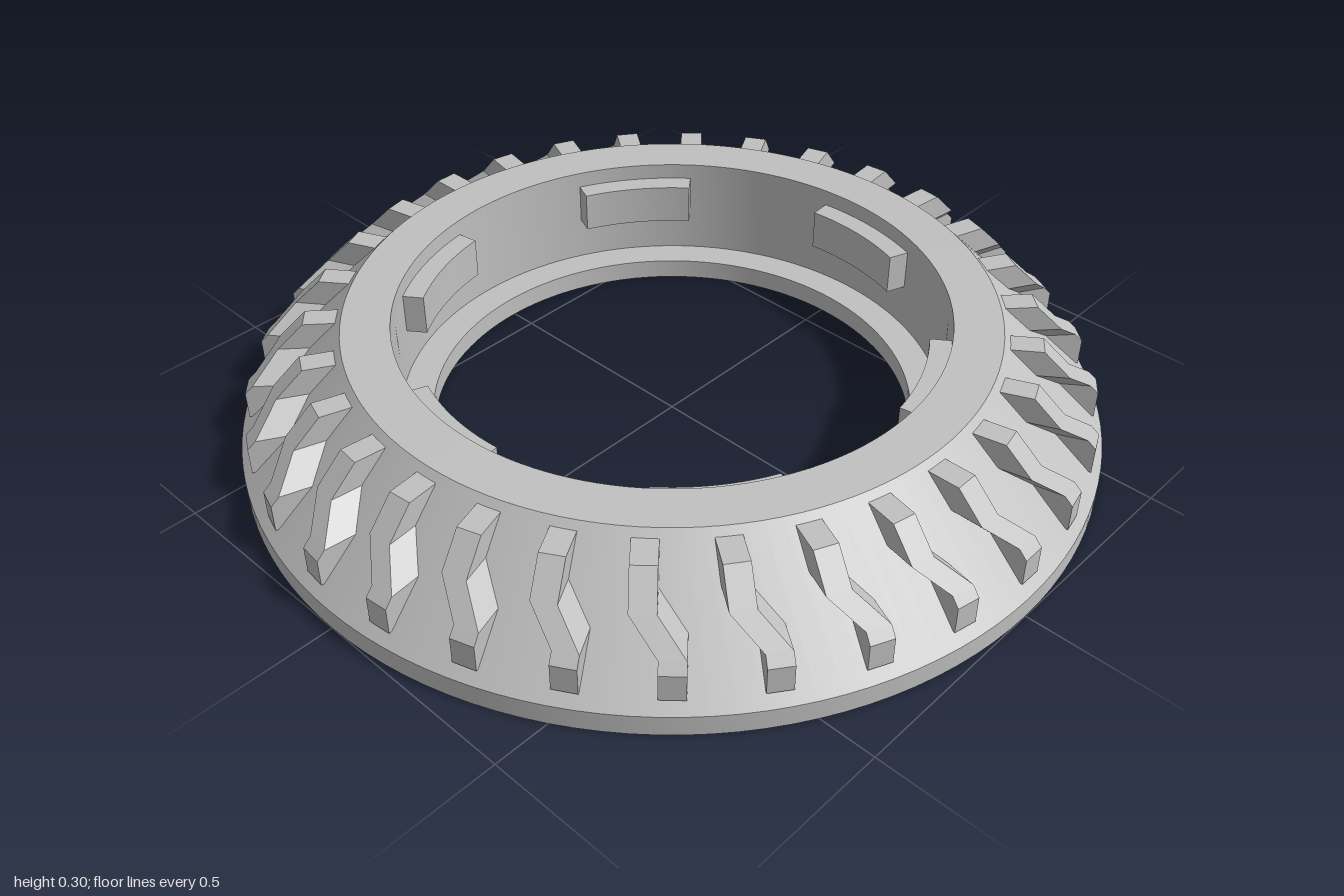
import * as THREE from 'three';
import { toCreasedNormals } from 'three/addons/utils/BufferGeometryUtils.js';

const RIBS = 30;
const TABS = 6;

// Sloped ring with a stepped bore
function ringGeometry() {
  const profile = [
    [0.563, 0], [1, 0], [1, 0.05], [0.75, 0.3],
    [0.638, 0.3], [0.638, 0.05], [0.563, 0.05], [0.563, 0],
  ].map(([r, y]) => new THREE.Vector2(r, y));
  return toCreasedNormals(new THREE.LatheGeometry(profile, 120), 0.4);
}

// Zigzag grip rib: a box whose rows are shifted sideways and laid on the slope
function ribGeometry() {
  const width = 0.055, shift = 0.029;
  const rows = [
    { y: 0.285, x: -shift, front: 0.838 },
    { y: 0.22, x: -shift, front: 0.902 },
    { y: 0.16, x: shift, front: 0.961 },
    { y: 0.14, x: shift, front: 0.98 },
    { y: 0.075, x: shift, front: 0.98 },
  ];
  const box = new THREE.BoxGeometry(width, 1, 1, 1, rows.length - 1, 1);
  const p = box.attributes.position;
  for (let i = 0; i < p.count; i++) {
    const row = rows[Math.round((0.5 - p.getY(i)) * (rows.length - 1))];
    const z = p.getZ(i) > 0 ? row.front : 1.04 - row.y;
    p.setXYZ(i, p.getX(i) + row.x, row.y, z);
  }
  const flat = box.toNonIndexed();
  flat.computeVertexNormals();
  return flat;
}

// Curved locking tab on the inner wall
function tabGeometry() {
  const half = THREE.MathUtils.degToRad(13.2);
  const shape = new THREE.Shape();
  shape.absarc(0, 0, 0.645, -half, half, false);
  shape.absarc(0, 0, 0.588, half, -half, true);
  shape.closePath();
  const geo = new THREE.ExtrudeGeometry(shape, { depth: 0.1, bevelEnabled: false, curveSegments: 10 });
  geo.rotateX(-Math.PI / 2);
  geo.translate(0, 0.16, 0);
  return toCreasedNormals(geo, 0.4);
}

export function createModel() {
  const grey = new THREE.MeshStandardMaterial({ color: 0xc0c0c0 });
  grey.name = 'light grey';

  const model = new THREE.Group();
  model.name = 'gripRing';

  const addPart = (name, geometry, angle = 0) => {
    const mesh = new THREE.Mesh(geometry, grey);
    mesh.name = name;
    mesh.rotation.y = angle;
    model.add(mesh);
  };

  addPart('ringBody', ringGeometry());

  const rib = ribGeometry();
  for (let i = 0; i < RIBS; i++) addPart('gripRib', rib, ((i + 0.5) / RIBS) * Math.PI * 2);

  const tab = tabGeometry();
  for (let i = 0; i < TABS; i++) {
    addPart('lockingTab', tab, THREE.MathUtils.degToRad(82.5 + (i * 360) / TABS));
  }

  return model;
}
